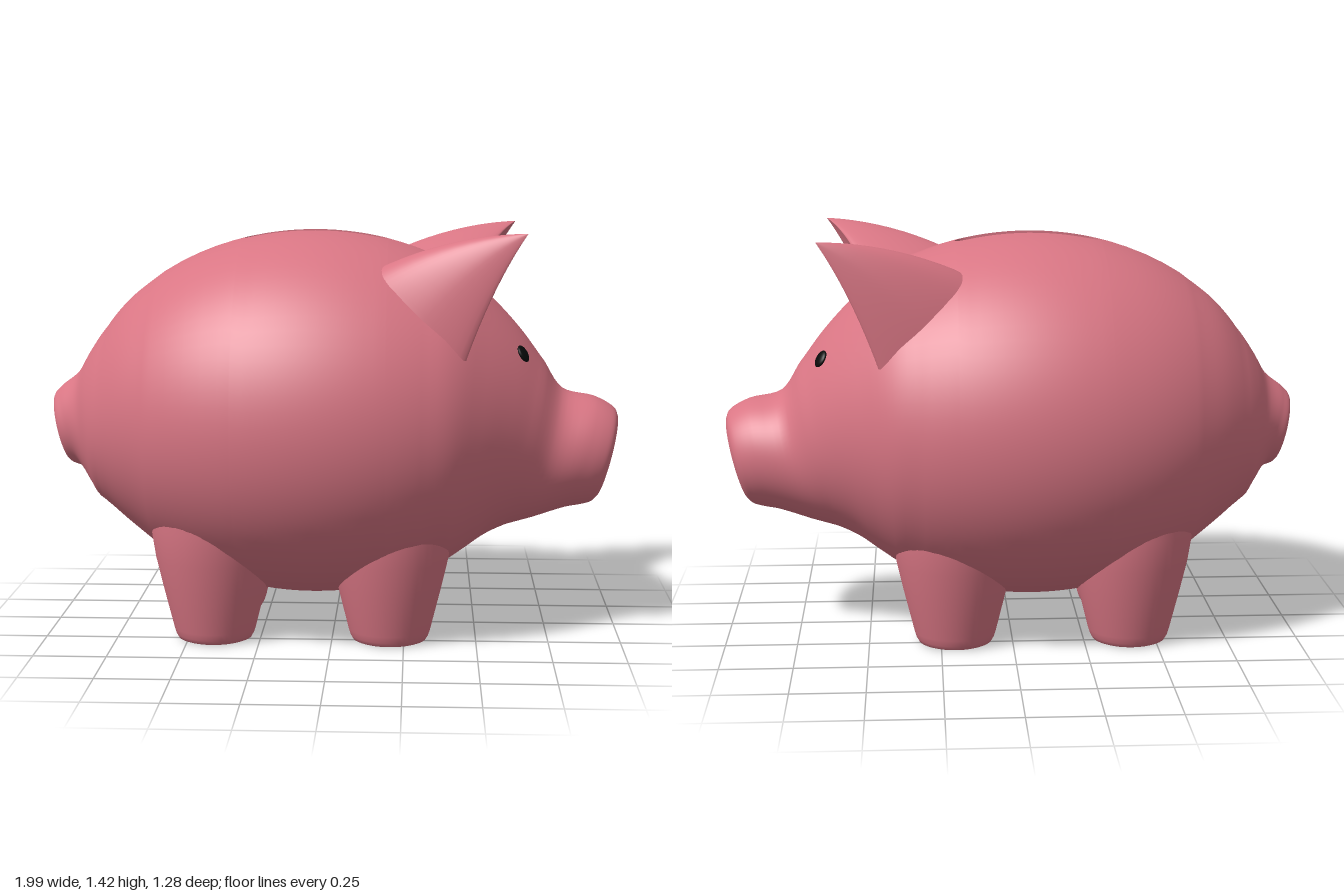
import * as THREE from 'three';
import { toCreasedNormals } from 'three/addons/utils/BufferGeometryUtils.js';

const pink = new THREE.MeshStandardMaterial({ color: 0xd97684 });
const pinkOpen = new THREE.MeshStandardMaterial({ color: 0xd97684, side: THREE.DoubleSide });
const black = new THREE.MeshStandardMaterial({ color: 0x0a0a0a });
const V = (x, y, z) => new THREE.Vector3(x, y, z);

function add(parent, name, geometry, material = pink) {
  const mesh = new THREE.Mesh(geometry, material);
  mesh.name = name;
  parent.add(mesh);
  return mesh;
}

// Skin a list of point rows; skip(i, k) leaves out a quad
function skin(rows, closed, skip = () => false) {
  const n = rows[0].length, index = [];
  for (let i = 0; i < rows.length - 1; i++) {
    for (let k = 0; k < (closed ? n : n - 1); k++) {
      if (skip(i, k)) continue;
      const k2 = (k + 1) % n;
      const a = i * n + k, d = i * n + k2, b = a + n, c = d + n;
      index.push(a, d, b, d, c, b);
    }
  }
  const g = new THREE.BufferGeometry().setFromPoints(rows.flat());
  g.setIndex(index);
  g.computeVertexNormals();
  return g;
}

// Coin slot limits and its half width with rounded ends
const SLOT = { x0: -0.32, x1: 0.19, w: 0.04, depth: 0.03 };
function slotWidth(x) {
  const d = Math.min(x - SLOT.x0, SLOT.x1 - x);
  if (d >= SLOT.w) return SLOT.w;
  return Math.max(0.012, SLOT.w * Math.sqrt(Math.max(0, 1 - (1 - d / SLOT.w) ** 2)));
}

// Body rings: [x, y, radius, lean]
const ellipseRing = (x) => [x, 0.77, 0.64 * Math.sqrt(1 - ((x + 0.07) / 0.83) ** 2), 0];
const tailRings = [
  [-0.97, 0.705, 0.122, -0.23], [-0.962, 0.707, 0.132, -0.23], [-0.93, 0.713, 0.153, -0.23],
  [-0.885, 0.708, 0.2, -0.12], [-0.845, 0.727, 0.265, -0.05], [-0.8, 0.755, 0.318, 0],
  ellipseRing(-0.72), ellipseRing(-0.6)];
const snoutRings = [
  ellipseRing(0.28), [0.4, 0.765, 0.528, 0.03], [0.5, 0.73, 0.45, 0.11], [0.59, 0.7, 0.37, 0.17],
  [0.67, 0.66, 0.298, 0.23], [0.75, 0.626, 0.236, 0.22], [0.863, 0.63, 0.204, 0.25],
  [0.92, 0.623, 0.185, 0.25], [0.947, 0.618, 0.17, 0.25], [0.96, 0.615, 0.15, 0.25]];

function refine(rings, steps) {
  const curve = new THREE.CatmullRomCurve3(rings.map((r) => V(r[0], r[1], r[2])));
  const total = (rings.length - 1) * steps;
  return Array.from({ length: total + 1 }, (_, j) => {
    const p = curve.getPoint(j / total);
    const i = Math.min(Math.floor(j / steps), rings.length - 2);
    const lean = THREE.MathUtils.lerp(rings[i][3], rings[i + 1][3], j / steps - i);
    return [p.x, p.y, p.z, lean];
  });
}

function buildBody(group) {
  const xs = [-0.54, -0.48, -0.42, -0.36];
  const ends = [0, 0.004, 0.012, 0.024, 0.04];
  ends.forEach((d) => xs.push(SLOT.x0 + d));
  for (let j = 1; j < 12; j++) xs.push(THREE.MathUtils.lerp(SLOT.x0 + 0.04, SLOT.x1 - 0.04, j / 12));
  [...ends].reverse().forEach((d) => xs.push(SLOT.x1 - d));
  xs.push(0.23);
  const rings = [...refine(tailRings, 5), ...xs.map(ellipseRing), ...refine(snoutRings, 5)];
  const N = 72;
  const rows = rings.map(([x, y, r, lean]) => {
    const gap = Math.asin(slotWidth(x) / Math.max(r, 0.5));
    return Array.from({ length: N + 1 }, (_, k) => {
      const a = gap + (k / N) * (2 * Math.PI - 2 * gap), h = r * Math.cos(a);
      return V(x + h * Math.sin(lean), y + h * Math.cos(lean), r * Math.sin(a));
    });
  });
  const inSlot = (i) => rings[i][0] > SLOT.x0 - 1e-6 && rings[i][0] < SLOT.x1 + 1e-6;
  add(group, 'body', skin(rows, true, (i, k) => k === N && inSlot(i) && inSlot(i + 1)));

  // Recessed slot: two walls, a floor and closed ends
  const trough = rows.filter((_, i) => inSlot(i)).map((row) => {
    const l = row[N], r = row[0], down = V(0, -SLOT.depth, 0);
    return [l, l.clone().add(down), r.clone().add(down), r];
  });
  const lip = ([l, , , r]) => [l, l.clone(), r.clone(), r];
  const slotRows = [lip(trough[0]), ...trough, lip(trough[trough.length - 1])];
  add(group, 'coinSlot', toCreasedNormals(skin(slotRows, false), 0.6), pinkOpen);

  // Flat tail end
  const tail = add(group, 'tailEnd', new THREE.CircleGeometry(0.122, 72));
  tail.position.set(-0.97, 0.705, 0);
  tail.lookAt(-0.97 - Math.cos(0.23), 0.705 - Math.sin(0.23), 0);
}

function buildSnout(group) {
  const snout = new THREE.Group();
  snout.name = 'snoutFace';
  const disc = new THREE.Shape().absarc(0, 0, 0.15, 0, Math.PI * 2);
  const cup = [[0, -0.04], [0.015, -0.037], [0.025, -0.025], [0.03, 0]].map((p) => new THREE.Vector2(...p));
  for (const s of [-1, 1]) {
    disc.holes.push(new THREE.Path().absarc(s * 0.08, 0.012, 0.03, 0, Math.PI * 2, true));
    const nostril = add(snout, 'nostril', new THREE.LatheGeometry(cup, 24).rotateX(Math.PI / 2), pinkOpen);
    nostril.position.set(s * 0.08, 0.012, 0);
  }
  add(snout, 'snoutDisc', new THREE.ShapeGeometry(disc, 36));
  snout.position.set(0.96, 0.615, 0);
  snout.lookAt(0.96 + Math.cos(0.25), 0.615 - Math.sin(0.25), 0);
  group.add(snout);
}

// Pointed ear with a hollow front, tapered from a base loop to its tip
function earGeometry(side) {
  const loop = new THREE.CatmullRomCurve3([
    V(0.5, 1.25, 0.1), V(0.33, 1.31, 0.19), V(0.19, 1.31, 0.3), V(0.19, 1.27, 0.36), V(0.31, 1.16, 0.435),
    V(0.455, 1.02, 0.44), V(0.45, 1.11, 0.38), V(0.43, 1.18, 0.31), V(0.46, 1.22, 0.2)], true);
  const base = loop.getPoints(64).slice(0, 64);
  const tip = V(0.65, 1.42, 0.425);
  const rows = [1.15, 1, 0.9, 0.8, 0.7, 0.6, 0.5, 0.4, 0.3, 0.22, 0.15, 0.1, 0.06, 0.03, 0].map((s) => {
    const bulge = V(-0.02, 0.09, 0.03).multiplyScalar(s * (1 - s));
    const row = base.map((p) => tip.clone().lerp(p, s).add(bulge));
    row.forEach((p) => { p.z *= side; });
    return side > 0 ? row : row.reverse();
  });
  return skin(rows, true);
}

export function createModel() {
  const group = new THREE.Group();
  group.name = 'piggyBank';
  buildBody(group);
  buildSnout(group);

  // Tapered legs with a rounded foot edge
  const legProfile = [[0, 0], [0.118, 0], [0.128, 0.004], [0.136, 0.018], [0.143, 0.04],
    [0.18, 0.19], [0.203, 0.29], [0.22, 0.4], [0.22, 0.55]].map((p) => new THREE.Vector2(...p));
  const legGeometry = toCreasedNormals(new THREE.LatheGeometry(legProfile, 48), 0.7);
  for (const side of [1, -1]) {
    const s = side > 0 ? 'right' : 'left';
    for (const [end, x] of [['front', 0.2], ['back', -0.41]]) {
      add(group, `${end}Leg_${s}`, legGeometry).position.set(x, 0, side * 0.222);
    }
    add(group, `ear_${s}`, earGeometry(side));

    // Flat round eyes lying on the face
    const eye = add(group, `eye_${s}`, new THREE.SphereGeometry(0.031, 24, 16), black);
    eye.position.set(0.652, 1.0, side * 0.202);
    eye.lookAt(0.652 + 0.8, 1.0 + 0.5, side * (0.202 + 0.33));
    eye.scale.z = 0.35;
  }
  return group;
}
